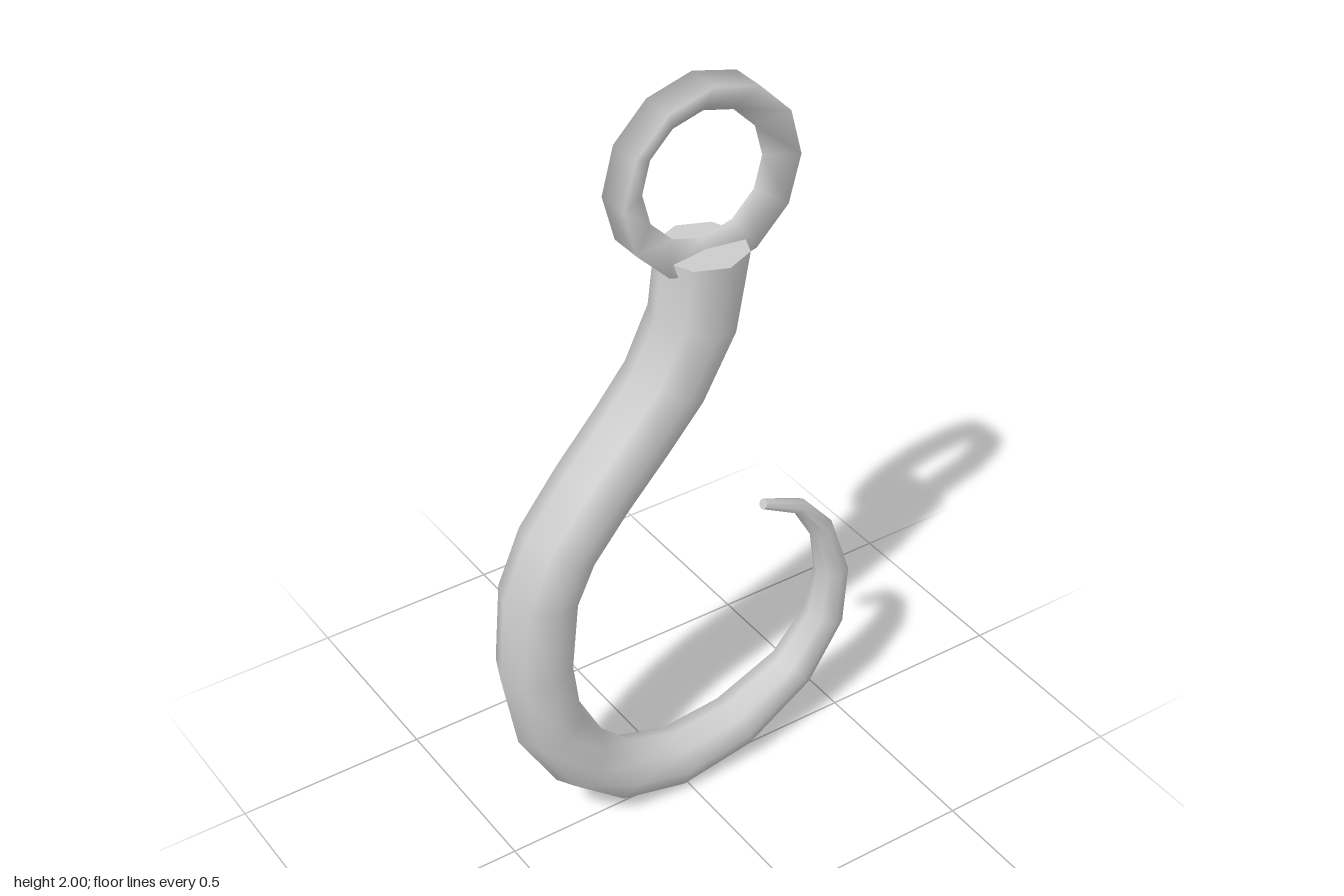
import * as THREE from 'three';

// Hook centreline, from shank top to point: x, y, radius
const STATIONS = [
  [0.06, 1.58, 0.11], [0.032, 1.4, 0.106], [-0.045, 1.254, 0.102], [-0.138, 1.146, 0.1],
  [-0.246, 1.029, 0.099], [-0.347, 0.905, 0.098], [-0.402, 0.783, 0.097], [-0.42, 0.585, 0.095],
  [-0.389, 0.386, 0.09], [-0.304, 0.231, 0.085], [-0.183, 0.125, 0.081], [-0.019, 0.08, 0.077],
  [0.167, 0.106, 0.072], [0.349, 0.205, 0.061], [0.447, 0.339, 0.053], [0.466, 0.484, 0.045],
  [0.431, 0.622, 0.033], [0.357, 0.725, 0.021], [0.246, 0.778, 0.014],
];
const SIDES = 8;

function buildGeometry(positions, index) {
  const geometry = new THREE.BufferGeometry();
  geometry.setAttribute('position', new THREE.Float32BufferAttribute(positions, 3));
  geometry.setIndex(index);
  geometry.computeVertexNormals();
  return geometry;
}

// Octagonal cross-section set square to the centreline
function section(i) {
  const [x, y, r] = STATIONS[i];
  const a = STATIONS[Math.max(i - 1, 0)];
  const b = STATIONS[Math.min(i + 1, STATIONS.length - 1)];
  const t = i === 0 ? new THREE.Vector2(0, -1) : new THREE.Vector2(b[0] - a[0], b[1] - a[1]).normalize();
  const points = [];
  for (let j = 0; j < SIDES; j++) {
    const angle = (j / SIDES) * Math.PI * 2;
    const u = r * Math.cos(angle);
    points.push(x + t.y * u, y - t.x * u, r * Math.sin(angle));
  }
  return points;
}

// Tapering tube skin through all sections
function hookGeometry() {
  const positions = [], index = [];
  STATIONS.forEach((_, i) => {
    positions.push(...section(i));
    if (i === 0) return;
    for (let j = 0; j < SIDES; j++) {
      const k = (j + 1) % SIDES;
      const p = (i - 1) * SIDES, q = i * SIDES;
      index.push(q + j, q + k, p + j, q + k, p + k, p + j);
    }
  });
  return buildGeometry(positions, index);
}

// Flat end cap closing one section
function capGeometry(i, flip) {
  const index = [];
  for (let j = 1; j < SIDES - 1; j++) index.push(0, flip ? j + 1 : j, flip ? j : j + 1);
  return buildGeometry(section(i), index);
}

export function createModel() {
  const group = new THREE.Group();
  group.name = 'hook';
  const material = new THREE.MeshStandardMaterial({ color: 0xcccccc });
  const add = (name, geometry) => {
    const mesh = new THREE.Mesh(geometry, material);
    mesh.name = name;
    group.add(mesh);
    return mesh;
  };

  add('curvedHook', hookGeometry());
  add('shankTop', capGeometry(0, false));
  add('hookPoint', capGeometry(STATIONS.length - 1, true));

  // Eye ring: triangular tube; the negative radius turns its flat side outwards
  add('eyeRing', new THREE.TorusGeometry(0.211, -0.051, 3, 12)).position.set(0.06, 1.764, 0);

  return group;
}
